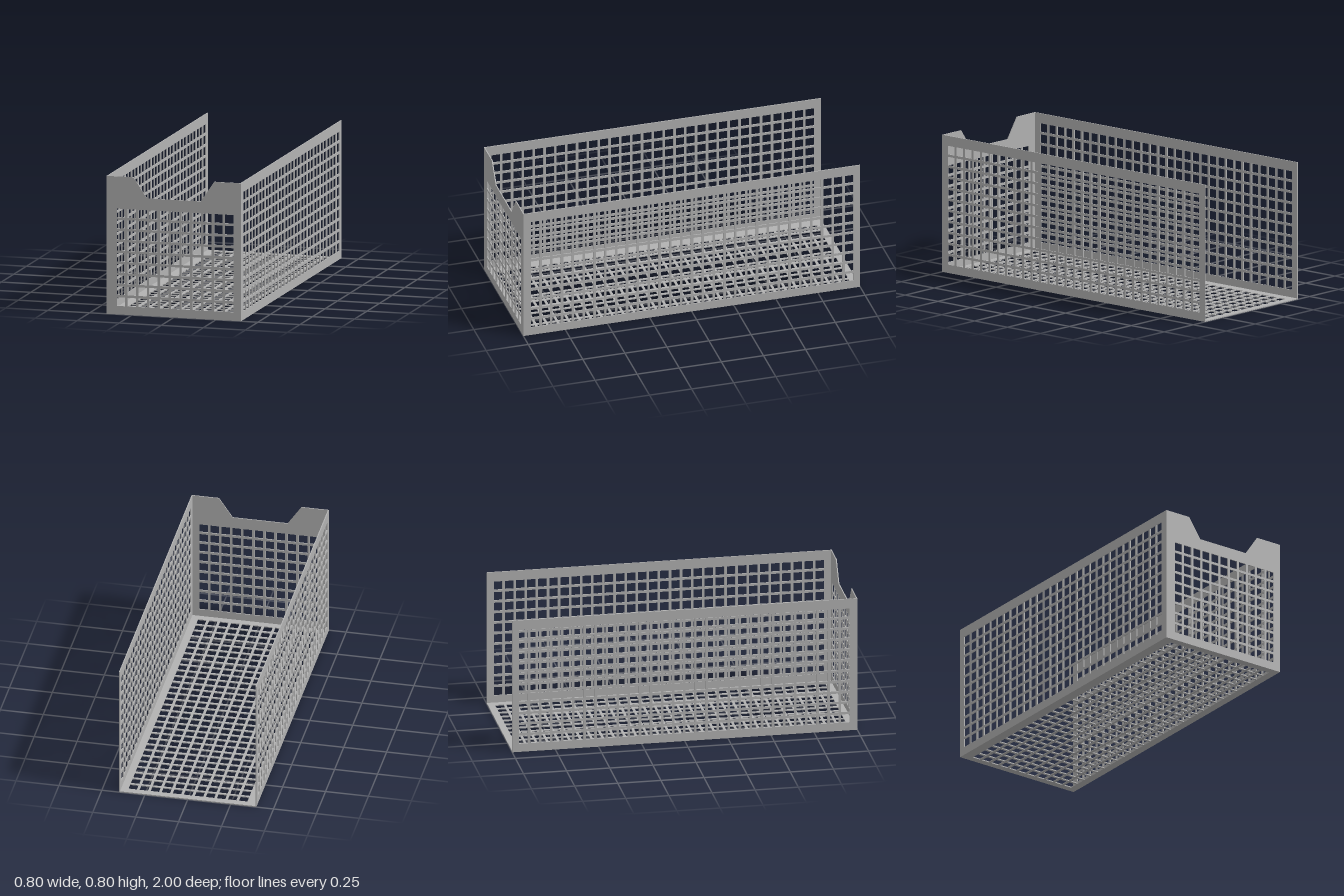
import * as THREE from 'three';

const T = 0.006;      // sheet thickness
const HOLE = 0.05;    // square hole size
const PITCH = 0.0643; // hole spacing

// Perforated sheet: an outline with a grid of square holes starting at (u0, v0)
function perforatedSheet(outline, u0, v0, cols, rows) {
  const shape = new THREE.Shape(outline.map(([u, v]) => new THREE.Vector2(u, v)));
  for (let i = 0; i < cols; i++) {
    for (let j = 0; j < rows; j++) {
      const u = u0 + i * PITCH, v = v0 + j * PITCH;
      const hole = new THREE.Path();
      hole.moveTo(u, v);
      hole.lineTo(u, v + HOLE);
      hole.lineTo(u + HOLE, v + HOLE);
      hole.lineTo(u + HOLE, v);
      hole.closePath();
      shape.holes.push(hole);
    }
  }
  return new THREE.ExtrudeGeometry(shape, { depth: T, bevelEnabled: false });
}

const rect = (u0, v0, u1, v1) => [[u0, v0], [u1, v0], [u1, v1], [u0, v1]];

export function createModel() {
  const group = new THREE.Group();
  group.name = 'perforatedTray';
  const metal = new THREE.MeshStandardMaterial({ color: 0xb2b2b2 });
  metal.name = 'greyMetal';

  const add = (name, geometry) => {
    const mesh = new THREE.Mesh(geometry, metal);
    mesh.name = name;
    group.add(mesh);
  };

  // Front panel with a tapered notch in its top edge
  const front = perforatedSheet([
    [-0.4, 0], [0.4, 0], [0.4, 0.8], [0.24, 0.8],
    [0.16, 0.682], [-0.16, 0.682], [-0.24, 0.8], [-0.4, 0.8],
  ], -0.339, 0.049, 11, 9);
  add('frontPanel', front.translate(0, 0, 1 - T));

  // Long side panels (sheet u axis runs towards the back)
  for (const [name, x] of [['leftPanel', 0.4 - T], ['rightPanel', -0.4]]) {
    const side = perforatedSheet(rect(-1 + T, 0, 1, 0.8), -0.955, 0.049, 30, 11);
    add(name, side.rotateY(Math.PI / 2).translate(x, 0, 0));
  }

  // Floor between the sides; the back stays open
  const floor = perforatedSheet(rect(-0.4 + T, -1 + T, 0.4 - T, 1), -0.339, -0.955, 11, 30);
  add('floorPanel', floor.rotateX(-Math.PI / 2));

  return group;
}
